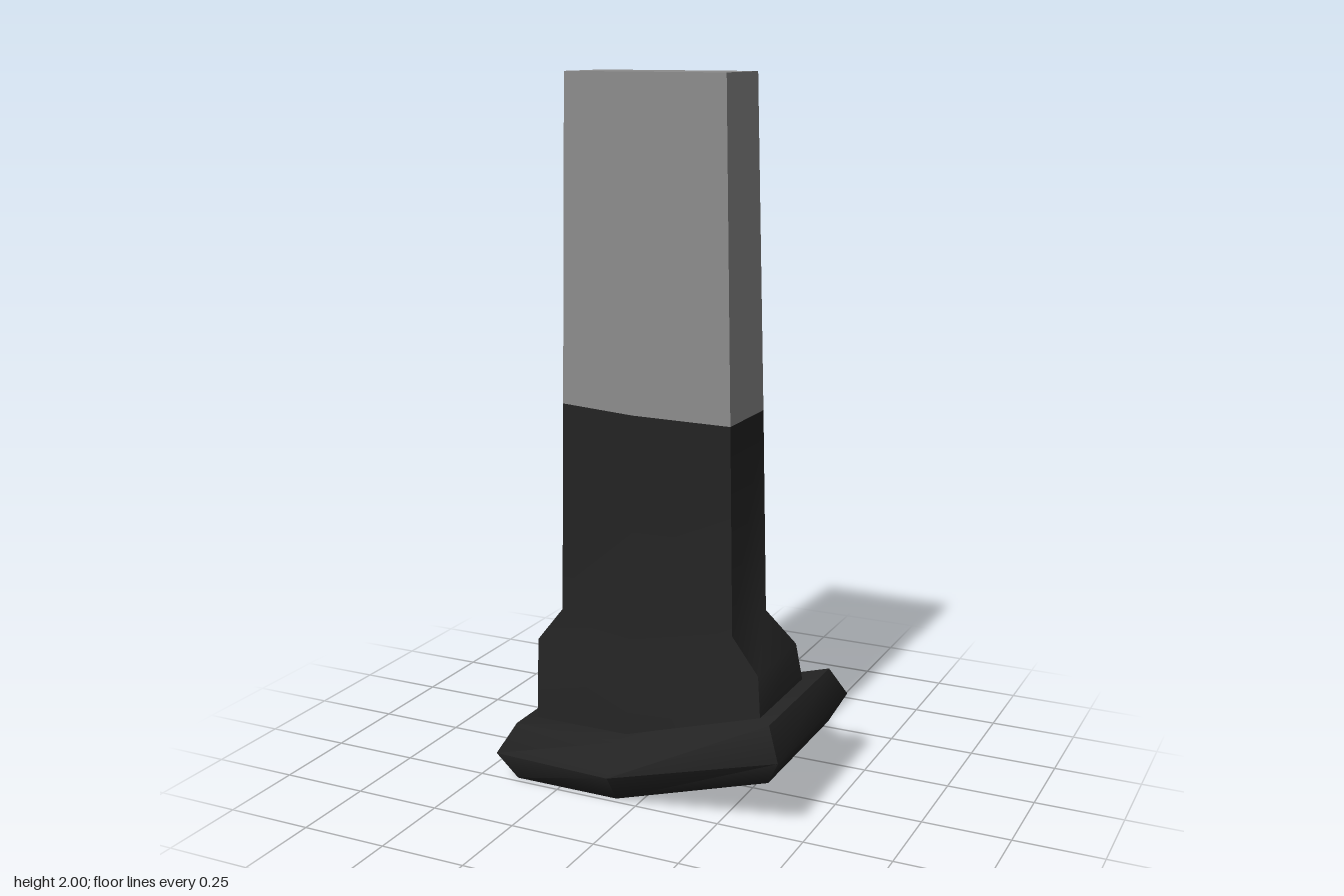
import * as THREE from 'three';
import { toCreasedNormals } from 'three/addons/utils/BufferGeometryUtils.js';

const MID = -0.07; // x of the bend that runs through every section

// One six-sided section: [x, y, half depth] at the right end, the bend and the left end
function ring(a, m, b) {
  return [
    [a[0], a[1], a[2]], [MID, m[0], m[1]], [b[0], b[1], b[2]],
    [b[0], b[1], -b[2]], [MID, m[0], -m[1]], [a[0], a[1], -a[2]],
  ];
}

// Skin a stack of sections from bottom to top and close both ends
function loft(rings) {
  const pos = [];
  const quad = (a, b, c, d) => pos.push(...a, ...b, ...c, ...a, ...c, ...d);
  for (let r = 0; r < rings.length - 1; r++) {
    const lo = rings[r], hi = rings[r + 1];
    for (let i = 0; i < 6; i++) {
      const j = (i + 1) % 6;
      quad(lo[i], lo[j], hi[j], hi[i]);
    }
  }
  const bot = rings[0], top = rings[rings.length - 1];
  quad(top[0], top[1], top[4], top[5]);
  quad(top[1], top[2], top[3], top[4]);
  quad(bot[5], bot[4], bot[1], bot[0]);
  quad(bot[4], bot[3], bot[2], bot[1]);
  const geo = new THREE.BufferGeometry();
  geo.setAttribute('position', new THREE.Float32BufferAttribute(pos, 3));
  return toCreasedNormals(geo, 1.03);
}

export function createModel() {
  const black = new THREE.MeshStandardMaterial({ name: 'black', color: 0x232323 });
  const grey = new THREE.MeshStandardMaterial({ name: 'grey', color: 0x8c8c8c });
  const model = new THREE.Group();
  model.name = 'post';

  const add = (name, material, rings) => {
    const mesh = new THREE.Mesh(loft(rings), material);
    mesh.name = name;
    model.add(mesh);
  };

  // Bent foot with a bevelled rim
  add('foot', black, [
    ring([-0.39, 0, 0.23], [0, 0.23], [0.39, 0.14, 0.23]),
    ring([-0.435, 0.085, 0.271], [0.085, 0.288], [0.433, 0.22, 0.271]),
    ring([-0.39, 0.17, 0.23], [0.17, 0.23], [0.39, 0.305, 0.23]),
  ]);

  // Shaft flaring out to the foot
  const seam = ring([-0.286, 1.097, 0.115], [1.083, 0.115], [0.221, 1.08, 0.115]);
  add('shaft', black, [
    ring([-0.357, 0.15, 0.169], [0.15, 0.169], [0.338, 0.26, 0.163]),
    ring([-0.365, 0.4, 0.141], [0.4, 0.141], [0.32, 0.4, 0.141]),
    ring([-0.295, 0.495, 0.121], [0.495, 0.121], [0.234, 0.495, 0.121]),
    seam,
  ]);

  // Tapered upper end
  add('upperPost', grey, [
    seam,
    ring([-0.274, 2, 0.104], [2, 0.104], [0.198, 2, 0.104]),
  ]);

  return model;
}
